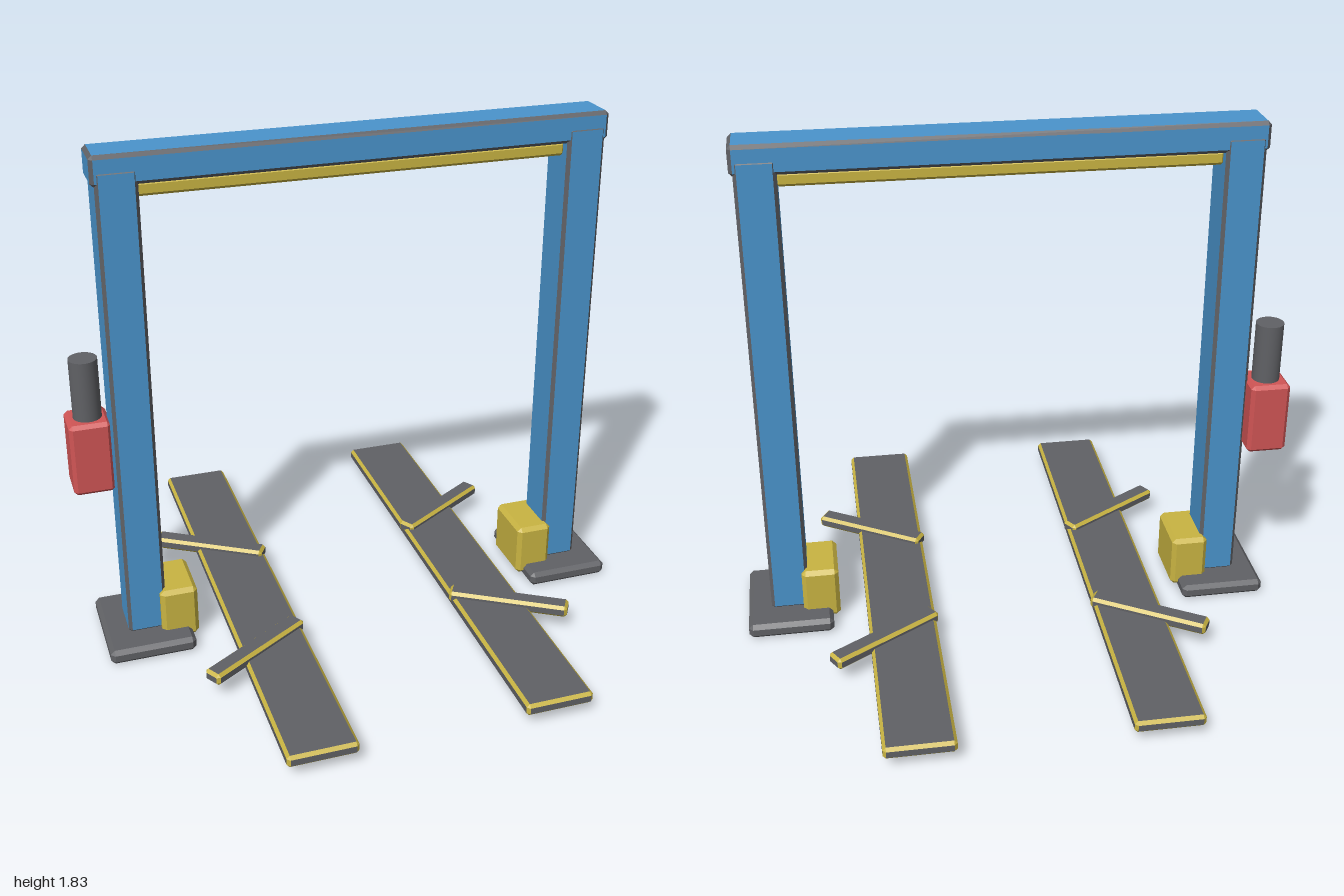
import * as THREE from 'three';

const material = (name, color) => {
  const m = new THREE.MeshStandardMaterial({ color });
  m.name = name;
  return m;
};

// Box with chamfered edges: group 0 holds the six faces, group 1 the chamfers and corners
function chamferBox(size, bevel) {
  const half = size.map((s) => s / 2);
  const flats = [], bevels = [];
  const tri = (list, a, b, c) => {
    const n = b.clone().sub(a).cross(c.clone().sub(a));
    const outward = n.dot(a.clone().add(b).add(c)) > 0;
    for (const p of outward ? [a, b, c] : [a, c, b]) list.push(p.x, p.y, p.z);
  };
  const quad = (list, a, b, c, d) => { tri(list, a, b, c); tri(list, a, c, d); };
  // corner vertex that lies on the face of the given axis
  const vertex = (signs, axis) => new THREE.Vector3(
    ...signs.map((s, i) => s * (i === axis ? half[i] : half[i] - bevel)));
  const signsFor = (i, si, j, sj, k, sk) => {
    const s = [0, 0, 0];
    s[i] = si; s[j] = sj; s[k] = sk;
    return s;
  };
  for (let i = 0; i < 3; i++) {
    const j = (i + 1) % 3, k = (i + 2) % 3;
    for (const s of [-1, 1]) {
      const p = (a, b) => vertex(signsFor(i, s, j, a, k, b), i);
      quad(flats, p(-1, -1), p(1, -1), p(1, 1), p(-1, 1));
      for (const t of [-1, 1]) {
        const e = (end, axis) => vertex(signsFor(i, s, j, t, k, end), axis);
        quad(bevels, e(-1, i), e(1, i), e(1, j), e(-1, j));
      }
    }
  }
  for (const x of [-1, 1]) for (const y of [-1, 1]) for (const z of [-1, 1]) {
    tri(bevels, ...[0, 1, 2].map((axis) => vertex([x, y, z], axis)));
  }
  const geometry = new THREE.BufferGeometry();
  geometry.setAttribute('position', new THREE.Float32BufferAttribute([...flats, ...bevels], 3));
  geometry.addGroup(0, flats.length / 3, 0);
  geometry.addGroup(flats.length / 3, bevels.length / 3, 1);
  geometry.computeVertexNormals();
  return geometry;
}

export function createModel() {
  const blue = material('blue paint', 0x4a94cc);
  const grey = material('dark grey steel', 0x606165);
  const yellow = material('yellow paint', 0xc9b442);
  const red = material('red paint', 0xd05555);

  const lift = new THREE.Group();
  lift.name = 'vehicleLift';
  const CENTRE = 0.026; // middle of the two columns

  const box = (name, size, position, bevel, face, edge = face) => {
    const mesh = new THREE.Mesh(chamferBox(size, bevel), [face, edge]);
    mesh.name = name;
    mesh.position.set(...position);
    lift.add(mesh);
    return mesh;
  };

  // Parts that repeat on both sides
  for (const side of [-1, 1]) {
    const label = side < 0 ? 'right' : 'left';
    const x = (offset) => CENTRE + side * offset;
    box(label + 'BasePlate', [0.31, 0.055, 0.38], [x(0.815), 0.0275, 0], 0.015, grey);
    box(label + 'Column', [0.14, 1.73, 0.164], [x(0.815), 0.915, 0], 0.012, blue, grey);
    box(label + 'Carriage', [0.135, 0.2, 0.22], [x(0.7), 0.115, 0], 0.015, yellow);
    box(label + 'Runway', [0.244, 0.045, 1.9], [x(0.415), 0.064, 0], 0.011, grey, yellow);

    // Swing arms spreading away from the column
    for (const end of [-1, 1]) {
      const arm = box(label + (end < 0 ? 'BackArm' : 'FrontArm'), [0.44, 0.045, 0.07],
        [x(0.484), 0.084, end * 0.357], 0.011, grey, yellow);
      arm.rotation.y = -side * end * 0.55;
    }
  }

  // Top beam with the safety bar below it
  box('topBeam', [1.795, 0.105, 0.158], [CENTRE, 1.778, 0], 0.013, blue, grey);
  box('safetyBar', [1.5, 0.05, 0.09], [CENTRE, 1.7, 0], 0.01, yellow);

  // Power unit on the outside of one column
  box('powerUnit', [0.145, 0.27, 0.152], [-0.927, 0.735, -0.073], 0.013, red);
  const motor = new THREE.Mesh(new THREE.CylinderGeometry(0.05, 0.05, 0.23, 32), grey);
  motor.name = 'motor';
  motor.position.set(-0.925, 0.975, -0.073);
  lift.add(motor);

  return lift;
}
